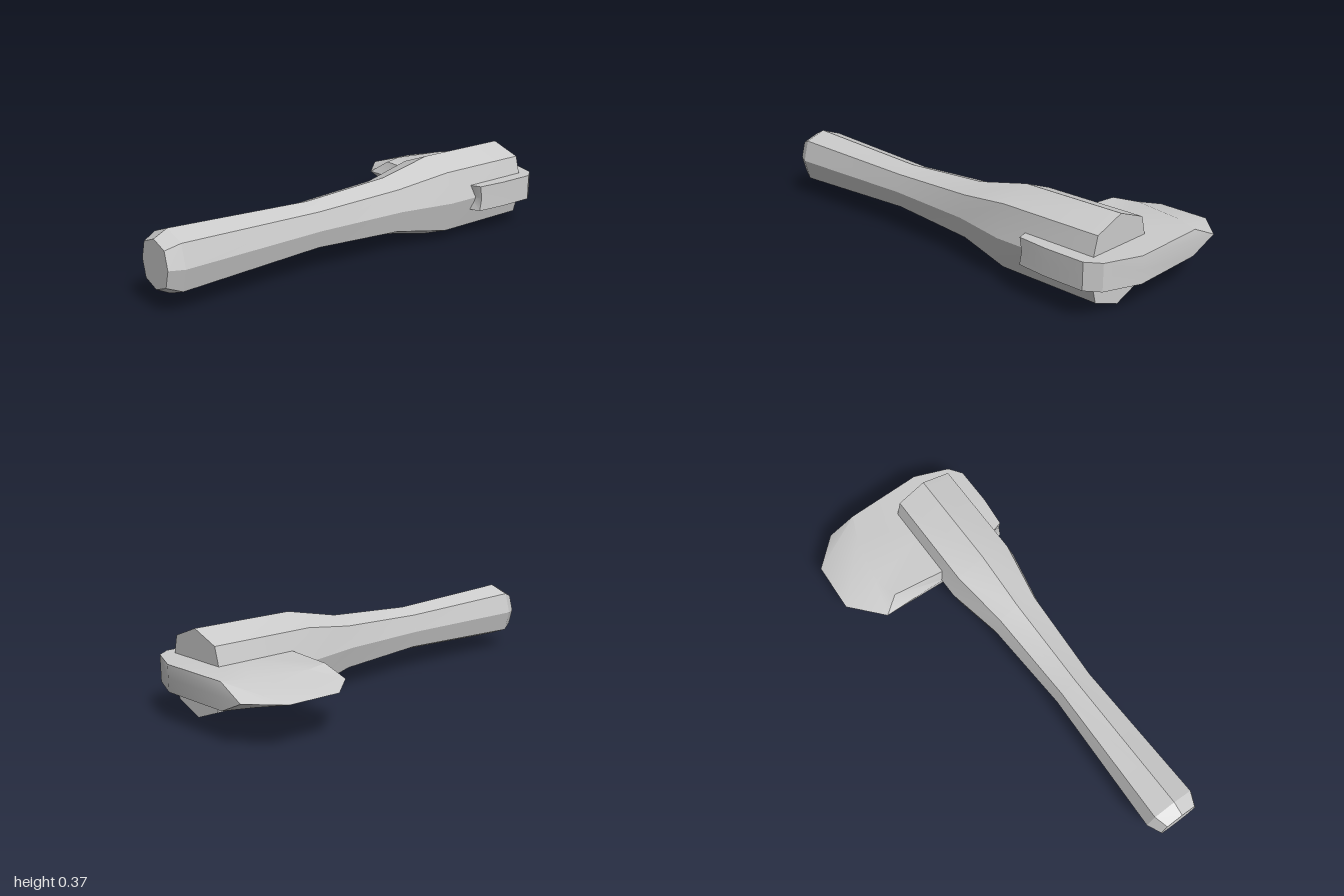
import * as THREE from 'three';
import { toCreasedNormals } from 'three/addons/utils/BufferGeometryUtils.js';

// Skins a stack of equal-length loops (clockwise seen from the last loop) and closes both ends
function loft(loops, crease) {
  const n = loops[0].length;
  const pos = [];
  const tri = (a, b, c) => pos.push(...a, ...b, ...c);
  const centre = (loop) => [0, 1, 2].map((k) => loop.reduce((s, p) => s + p[k], 0) / n);
  const first = loops[0], last = loops[loops.length - 1];
  const c0 = centre(first), c1 = centre(last);
  for (let i = 0; i < n; i++) {
    const j = (i + 1) % n;
    for (let k = 0; k < loops.length - 1; k++) {
      const lo = loops[k], hi = loops[k + 1];
      tri(lo[i], hi[i], hi[j]);
      tri(lo[i], hi[j], lo[j]);
    }
    tri(c0, first[i], first[j]);
    tri(c1, last[j], last[i]);
  }
  const geo = new THREE.BufferGeometry();
  geo.setAttribute('position', new THREE.Float32BufferAttribute(pos, 3));
  return toCreasedNormals(geo, crease);
}

export function createModel() {
  const group = new THREE.Group();
  const material = new THREE.MeshStandardMaterial({ color: 0xcccccc });
  const add = (name, geo) => {
    const mesh = new THREE.Mesh(geo, material);
    mesh.name = name;
    group.add(mesh);
  };

  // Eight-sided wooden handle: [z, radius] from the head end to the grip end
  const profile = [[-0.88, 0.185], [-0.41, 0.185], [-0.15, 0.13], [0.28, 0.105], [0.94, 0.13], [1, 0.1]];
  const octagon = [[0, 1], [0.73, 0.73], [0.93, 0], [0.73, -0.73], [0, -1], [-0.73, -0.73], [-0.93, 0], [-0.73, 0.73]];
  add('handle', loft(profile.map(([z, r]) =>
    octagon.map(([x, y]) => [0.192 + x * r, 0.189 + y * r, z])), 0.45));

  // Chipped axe head: mid-height outline x, z, then flat-face outline x, z
  const outline = [
    [-0.41, -0.65, -0.235, -0.65], // cutting edge
    [-0.4, -0.88, -0.19, -0.88],
    [-0.27, -1, -0.14, -0.993],
    [0.21, -1, 0.21, -1], // back
    [0.365, -0.94, 0.365, -0.94],
    [0.408, -0.88, 0.408, -0.88],
    [0.408, -0.7, 0.408, -0.7], // butt
    [0.395, -0.57, 0.395, -0.56],
    [0.34, -0.56, 0.34, -0.543],
    [0.03, -0.502, 0.03, -0.515], // front
    [-0.28, -0.503, -0.205, -0.545],
  ];
  const face = (y) => outline.map((p) => [p[2], y, p[3]]);
  const middle = outline.map((p) => [p[0], 0.189, p[1]]);
  add('axeHead', loft([face(0.132), middle, face(0.246)], 0.5));

  return group;
}
